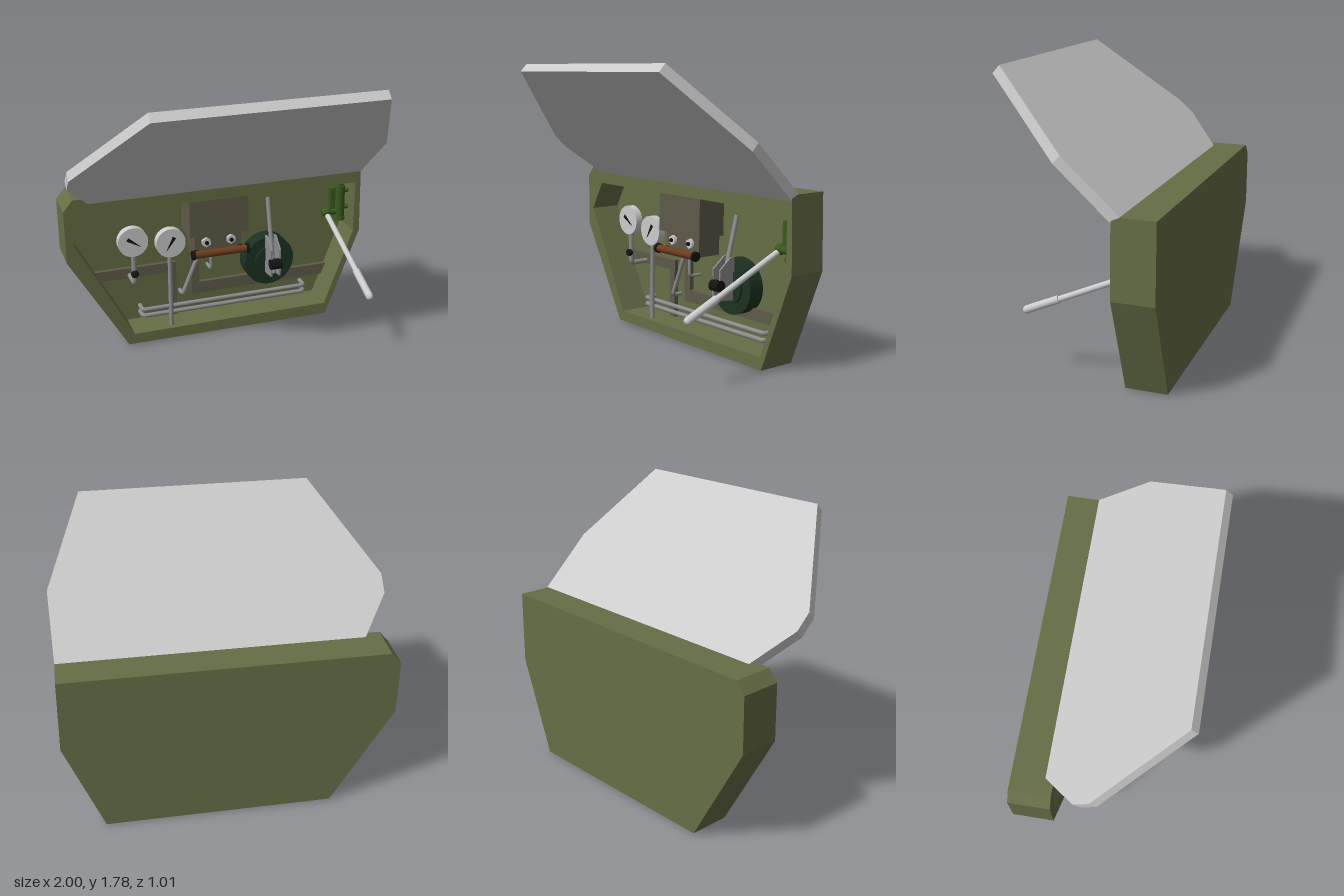
import * as THREE from 'three';

const mat = (color, side = THREE.FrontSide) => new THREE.MeshStandardMaterial({ color, side });
const OLIVE = mat(0x666e46), GREY = mat(0xcccccc), STEEL = mat(0x8c8c8c), TAUPE = mat(0x5f5a48);
const BLACK = mat(0x141414), DARK_GREEN = mat(0x1c3220), GREEN = mat(0x3a5a1e), COPPER = mat(0x6e3c1e);
const FLOOR = -0.47, FRONT = -0.26, BACK = -0.51;

const V = (x, y, z) => new THREE.Vector3(x, y, z);

export function createModel() {
  const root = new THREE.Group();

  const add = (name, geo, material, parent = root) => {
    const m = new THREE.Mesh(geo, material);
    m.name = name;
    parent.add(m);
    return m;
  };
  const shapeOf = pts => new THREE.Shape(pts.map(p => new THREE.Vector2(...p)));
  // Flat outline extruded forward from z0 to z1
  const slab = (name, pts, z0, z1, material, hole) => {
    const s = shapeOf(pts);
    if (hole) s.holes.push(shapeOf(hole));
    const g = new THREE.ExtrudeGeometry(s, { depth: z1 - z0, bevelEnabled: false });
    return add(name, g.translate(0, 0, z0), material);
  };
  const box = (name, x0, x1, y0, y1, z0, z1, material) => {
    const g = new THREE.BoxGeometry(x1 - x0, y1 - y0, z1 - z0);
    return add(name, g.translate((x0 + x1) / 2, (y0 + y1) / 2, (z0 + z1) / 2), material);
  };
  // Cylinder between two points
  const rod = (name, a, b, r, material, sides = 16, r2 = r) => {
    const d = b.clone().sub(a);
    const m = add(name, new THREE.CylinderGeometry(r2, r, d.length(), sides), material);
    m.position.copy(a).addScaledVector(d, 0.5);
    m.quaternion.setFromUnitVectors(V(0, 1, 0), d.normalize());
    return m;
  };
  const ball = (name, p, r, material) => add(name, new THREE.SphereGeometry(r, 16, 12), material).position.copy(p);
  // Pipe with tight rounded corners
  const pipe = (name, pts, r, material) => {
    const path = new THREE.CurvePath();
    let from = pts[0];
    for (let i = 1; i < pts.length - 1; i++) {
      const toward = q => pts[i].clone().add(q.clone().sub(pts[i]).setLength(0.025));
      const a = toward(pts[i - 1]), b = toward(pts[i + 1]);
      path.add(new THREE.LineCurve3(from, a));
      path.add(new THREE.QuadraticBezierCurve3(a, pts[i], b));
      from = b;
    }
    path.add(new THREE.LineCurve3(from, pts[pts.length - 1]));
    return add(name, new THREE.TubeGeometry(path, 80, r, 10), material);
  };

  // Case: hollow frame and back plate
  const outline = [[-0.63, 0.01], [0.77, 0], [1, 0.6], [0.99, 1.06], [-0.94, 1.06], [-1, 0.99], [-1, 0.65]];
  const opening = [[-0.59, 0.08], [0.76, 0.08], [0.955, 0.6], [0.955, 0.95], [-0.84, 0.95], [-0.95, 0.76]];
  slab('caseFrame', outline, FLOOR, FRONT, OLIVE, opening);
  slab('caseBack', outline, BACK, FLOOR, OLIVE);

  // Open lid, tilted forward from the top edge
  const lid = slab('lid', [[-0.84, 0], [0.99, 0], [1, 0.44], [0.77, 1.05], [-0.63, 1.045], [-1, 0.39], [-1, 0.265]], 0, 0.062, GREY);
  lid.position.set(0, 1.063, -0.31);
  lid.rotation.x = 0.823;

  // Raised strips on the back wall
  slab('leftStrip', [[-0.81, 0.47], [-0.77, 0.4], [-0.3, 0.4], [-0.3, 0.08], [-0.25, 0.08], [-0.25, 0.47]], FLOOR, -0.44, TAUPE);
  slab('rightStrip', [[-0.145, 0.55], [-0.145, 0.215], [0.81, 0.22], [0.84, 0.295], [-0.09, 0.295], [-0.09, 0.55]], FLOOR, -0.44, TAUPE);

  // Central housing with bolts and roller
  box('housing', -0.2, 0.2, 0.7, 0.95, FLOOR, -0.27, TAUPE);
  box('housingBase', -0.16, 0.16, 0.57, 0.7, FLOOR, -0.3, TAUPE);
  for (const x of [-0.085, 0.085]) {
    rod('hexBolt', V(x, 0.65, -0.3), V(x, 0.65, -0.28), 0.032, GREY, 6);
    rod('boltTip', V(x, 0.65, -0.28), V(x, 0.65, -0.268), 0.013, BLACK, 12);
  }
  rod('roller', V(-0.18, 0.587, -0.25), V(0.18, 0.587, -0.25), 0.025, COPPER);
  for (const s of [-1, 1]) {
    rod('rollerCap', V(s * 0.175, 0.587, -0.25), V(s * 0.195, 0.587, -0.25), 0.033, BLACK, 8);
    box('rollerArm', s * 0.15 - 0.01, s * 0.15 + 0.01, 0.575, 0.6, -0.31, -0.25, BLACK);
  }
  pipe('slantedPipe', [V(-0.08, 0.58, -0.4), V(-0.22, 0.245, -0.4), V(-0.22, 0.245, FLOOR)], 0.014, STEEL);
  pipe('shortPipe', [V(-0.025, 0.58, -0.38), V(-0.025, 0.41, -0.38), V(-0.025, 0.41, FLOOR)], 0.011, STEEL);

  // Gauges
  const gauge = (x, y, angle) => {
    rod('gaugeBody', V(x, y, -0.335), V(x, y, -0.285), 0.098, GREY, 40);
    const needle = add('gaugeNeedle', new THREE.ExtrudeGeometry(
      shapeOf([[-0.06, 0], [0.045, -0.012], [0.045, 0.012]]), { depth: 0.004, bevelEnabled: false }), BLACK);
    needle.position.set(x, y, -0.285);
    needle.rotation.z = angle;
  };
  gauge(-0.57, 0.718, 2.53);
  gauge(-0.323, 0.678, 1.02);
  pipe('leftGaugeStem', [V(-0.565, 0.65, -0.31), V(-0.565, 0.42, -0.31), V(-0.565, 0.42, FLOOR)], 0.017, STEEL);
  ball('stemKnob', V(-0.565, 0.493, -0.295), 0.025, BLACK);
  rod('rightGaugeStem', V(-0.327, 0.08, -0.31), V(-0.327, 0.62, -0.31), 0.015, STEEL);

  // Lower pipes returning into the wall
  for (const y of [0.132, 0.176]) {
    pipe('lowerPipe', [V(-0.5, y, FLOOR), V(-0.5, y, -0.39), V(0.66, y, -0.39), V(0.66, y, FLOOR)], 0.015, STEEL);
  }

  // Wheel with bracket and lever
  rod('wheel', V(0.387, 0.418, FLOOR), V(0.387, 0.418, -0.365), 0.175, DARK_GREEN, 40);
  rod('wheelHub', V(0.387, 0.418, -0.365), V(0.387, 0.418, -0.35), 0.105, DARK_GREEN, 32);
  for (const x of [0.352, 0.412]) {
    const g = new THREE.ExtrudeGeometry(
      shapeOf([[0.36, 0.34], [0.245, 0.35], [0.245, 0.54], [0.33, 0.61], [0.36, 0.61]]), { depth: 0.012, bevelEnabled: false });
    const plate = add('leverBracket', g, STEEL);
    plate.rotation.y = Math.PI / 2;
    plate.position.x = x;
  }
  rod('leverPivot', V(0.35, 0.44, -0.25), V(0.425, 0.44, -0.25), 0.036, BLACK);
  rod('wheelLever', V(0.387, 0.36, -0.28), V(0.387, 0.86, -0.41), 0.015, STEEL);

  // Valve on the right wall
  const vz = -0.37;
  box('valvePlate', 0.825, 0.93, 0.7, 0.885, vz - 0.03, vz + 0.01, GREEN);
  rod('valveBody', V(0.895, 0.67, vz), V(0.895, 0.9, vz), 0.036, GREEN);
  rod('valveCap', V(0.895, 0.9, vz), V(0.895, 0.93, vz), 0.025, GREEN);
  rod('valveFoot', V(0.895, 0.655, vz), V(0.895, 0.675, vz), 0.042, GREEN);
  for (const y of [0.74, 0.86]) rod('valvePort', V(0.9, y, vz), V(0.957, y, vz), 0.016, GREEN);
  rod('valveArm', V(0.8, 0.715, vz), V(0.89, 0.715, vz), 0.024, GREEN);
  ball('valveJoint', V(0.8, 0.715, vz), 0.035, GREEN);

  // Long handle reaching out of the case
  rod('handleRod', V(0.8, 0.71, vz), V(0.8, 0.487, 0.13), 0.018, GREY);
  rod('handleGrip', V(0.8, 0.492, 0.12), V(0.8, 0.402, 0.325), 0.024, GREY);
  ball('handleTip', V(0.8, 0.402, 0.322), 0.024, GREY);

  return root;
}
